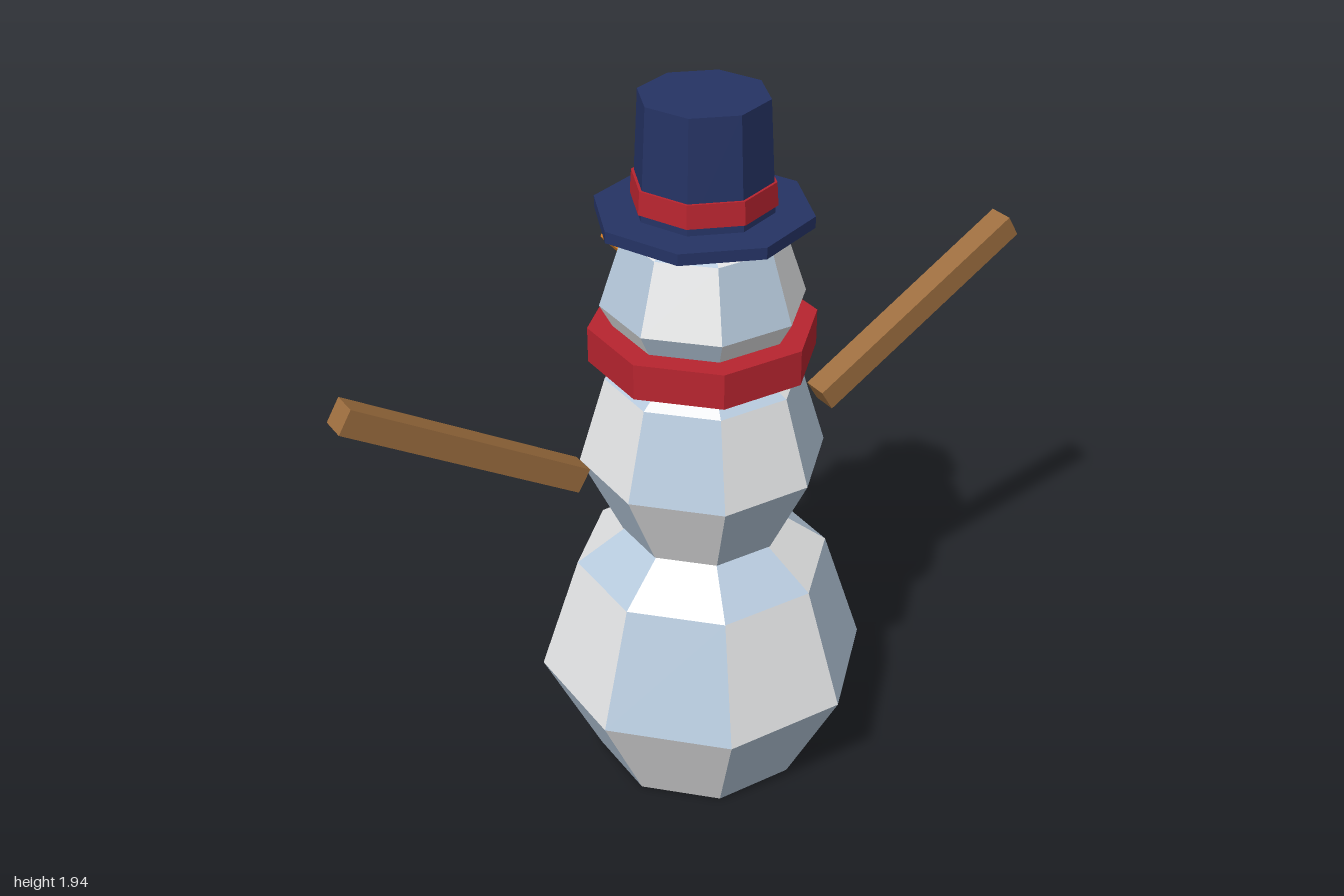
import * as THREE from 'three';

const mat = (name, color) => {
  const m = new THREE.MeshStandardMaterial({ color, flatShading: true });
  m.name = name;
  return m;
};

export function createModel() {
  const white = mat('snow white', 0xe4e5e6);
  const blue = mat('snow blue', 0xb6c9dc);
  const red = mat('scarf red', 0xb8242f);
  const navy = mat('hat navy', 0x253364);
  const brown = mat('stick brown', 0x9c6d3e);
  const orange = mat('carrot orange', 0xdd8226);

  const model = new THREE.Group();
  const axisZ = 0.045; // the snowman faces -z, so its axis sits slightly towards +z
  const apothem = Math.cos(Math.PI / 8);

  const add = (name, geometry, material, x, y, z, parent = model) => {
    const mesh = new THREE.Mesh(geometry, material);
    mesh.name = name;
    mesh.position.set(x, y, z);
    parent.add(mesh);
    return mesh;
  };

  // Octagonal snowball in chequered rings; profile = [height, half width across flats]
  const snowball = (name, profile, axisColor, diagonalColor) => {
    const ball = new THREE.Group();
    ball.name = name;
    for (let i = 0; i < profile.length - 1; i++) {
      const [y0, a0] = profile[i], [y1, a1] = profile[i + 1];
      const ring = new THREE.CylinderGeometry(a1 / apothem, a0 / apothem, y1 - y0, 8, 1, true, Math.PI / 8);
      ring.clearGroups();
      for (let k = 0; k < 8; k++) ring.addGroup(k * 6, 6, (k + i) % 2);
      add(name + 'Ring', ring, [diagonalColor, axisColor], 0, (y0 + y1) / 2, 0, ball);
    }
    // Flat bottom and top
    [profile[0], profile[profile.length - 1]].forEach(([y, a], i) => {
      const cap = new THREE.CircleGeometry(a / apothem, 8, Math.PI / 8);
      cap.rotateX(i ? -Math.PI / 2 : Math.PI / 2);
      add(name + 'Cap', cap, blue, 0, y, 0, ball);
    });
    ball.position.z = axisZ;
    model.add(ball);
  };
  snowball('base', [[0, 0.268], [0.31, 0.412], [0.635, 0.315], [0.74, 0.185]], blue, white);
  snowball('torso', [[0.735, 0.2], [0.96, 0.3], [1.195, 0.235], [1.243, 0.16]], blue, white);
  snowball('head', [[1.24, 0.16], [1.405, 0.243], [1.585, 0.188], [1.627, 0.11]], white, blue);

  // Scarf collar
  const r = 0.272 / apothem;
  add('scarf', new THREE.CylinderGeometry(r, r, 0.095, 8, 1, false, Math.PI / 8), red, 0, 1.2975, axisZ);

  // Scarf tail: notched plate on the +x side, leaning outwards towards its tip
  const tailShape = new THREE.Shape([
    [-0.01, 1.205], [-0.01, 1.15], [0.065, 1.15], [0.09, 1.06], [0.09, 1.205],
  ].map(([u, v]) => new THREE.Vector2(u, v)));
  const tail = new THREE.ExtrudeGeometry(tailShape, { depth: 0.07, bevelEnabled: false });
  tail.rotateY(Math.PI / 2); // shape x becomes -z, depth becomes +x
  const p = tail.attributes.position;
  for (let i = 0; i < p.count; i++) p.setX(i, p.getX(i) + (1.2 - p.getY(i)) * 0.2);
  add('scarfTail', tail, red, 0.173, 0, 0);

  // Hat, with corners on the axes
  const hatPart = (name, top, bottom, y0, y1, material) =>
    add(name, new THREE.CylinderGeometry(top, bottom, y1 - y0, 8), material, 0, (y0 + y1) / 2, axisZ);
  hatPart('hatBrim', 0.277, 0.277, 1.625, 1.655, navy);
  hatPart('hatCrown', 0.163, 0.178, 1.655, 1.943, navy);
  hatPart('hatBand', 0.181, 0.185, 1.675, 1.735, red);

  // Stick arms and eyes, mirrored
  for (const s of [-1, 1]) {
    const arm = add(s > 0 ? 'leftArm' : 'rightArm', new THREE.BoxGeometry(0.71, 0.067, 0.07), brown, s * 0.678, 1.188, axisZ);
    arm.rotation.z = s * 0.54;
    add('eye', new THREE.BoxGeometry(0.045, 0.047, 0.06), navy, s * 0.08, 1.517, -0.166);
  }

  // Carrot nose, pointing forward and slightly down
  const nose = add('nose', new THREE.CylinderGeometry(0.008, 0.058, 0.315, 6, 1, false, Math.PI / 6), orange, 0, 1.396, -0.305);
  nose.rotation.x = -Math.PI / 2 - 0.15;

  return model;
}
